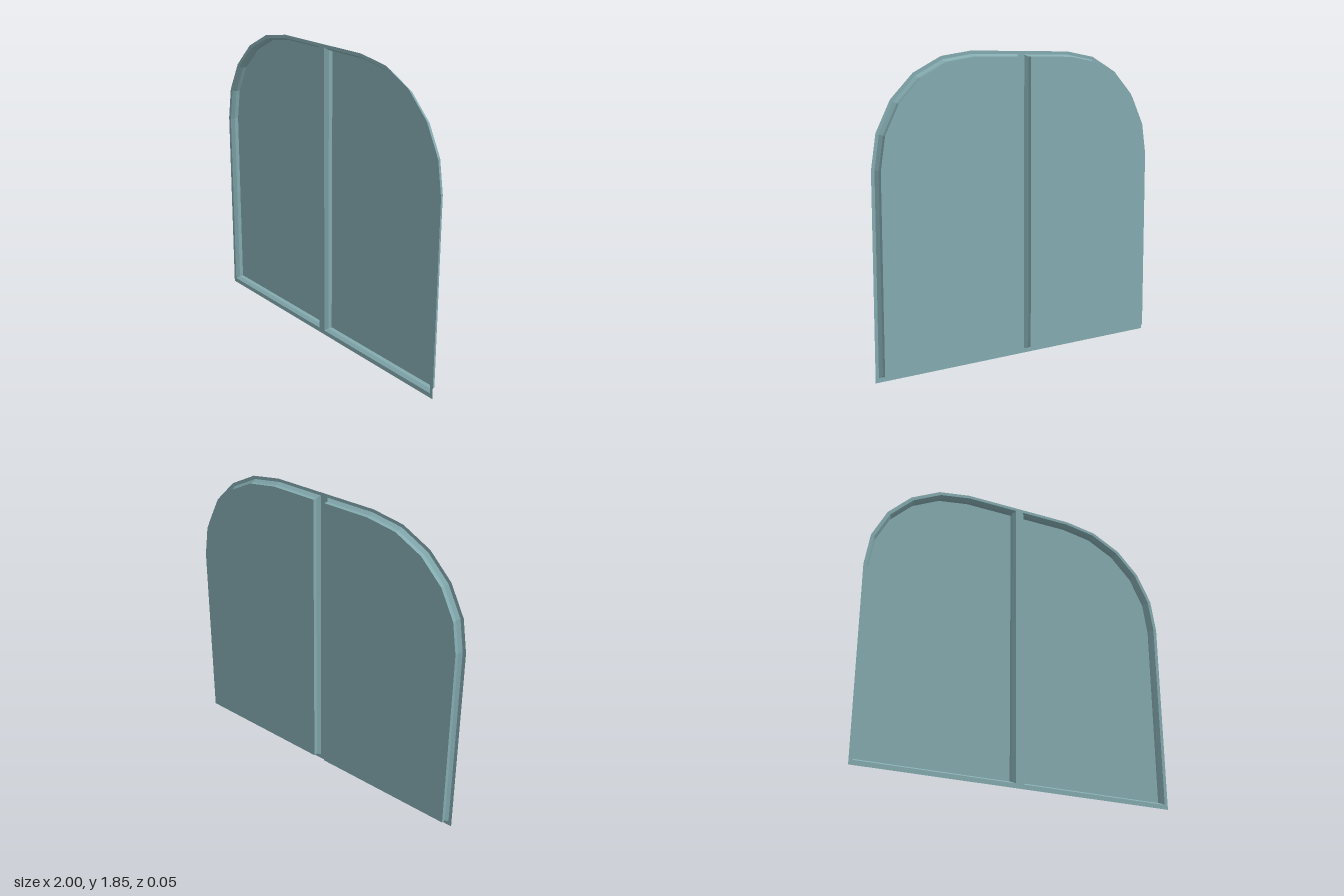
import * as THREE from 'three';

const FRONT = 0.024, STEP = 0.002, BACK = -0.024;
const ARC_STEPS = 5;

// Quarter arc from the vertical side (x = cx + r) up to the flat top
function arc(cx, cy, r) {
  return Array.from({ length: ARC_STEPS + 1 }, (_, i) => {
    const a = (i / ARC_STEPS) * Math.PI / 2;
    return new THREE.Vector2(cx + r * Math.cos(a), cy + r * Math.sin(a));
  });
}

// Outline of one half opening, counter-clockwise for side = 1
function openingOutline(side, mullion, bottom, r) {
  const points = [
    new THREE.Vector2(mullion, bottom),
    new THREE.Vector2(0.345 + r, bottom),
    ...arc(0.345, 1.197, r),
    new THREE.Vector2(mullion, 1.197 + r),
  ].map((p) => new THREE.Vector2(p.x * side, p.y));
  return side > 0 ? points : points.reverse();
}

// Closed strip of wall between two matching outlines at different depths
function wallGeometry(a, za, b, zb) {
  const positions = [];
  a.forEach((p, i) => {
    const j = (i + 1) % a.length;
    const p0 = [p.x, p.y, za], p1 = [a[j].x, a[j].y, za];
    const q0 = [b[i].x, b[i].y, zb], q1 = [b[j].x, b[j].y, zb];
    positions.push(...p0, ...p1, ...q1, ...p0, ...q1, ...q0);
  });
  const geometry = new THREE.BufferGeometry();
  geometry.setAttribute('position', new THREE.Float32BufferAttribute(positions, 3));
  geometry.computeVertexNormals();
  return geometry;
}

export function createModel() {
  const group = new THREE.Group();
  group.name = 'archedWindow';
  const material = new THREE.MeshStandardMaterial({
    color: 0x84abb0, side: THREE.DoubleSide, flatShading: true,
  });
  const add = (name, geometry, parent, z = 0) => {
    const mesh = new THREE.Mesh(geometry, material);
    mesh.name = name;
    mesh.position.z = z;
    parent.add(mesh);
  };

  // Flat front frame with rounded top corners
  const right = arc(0.35, 1.2, 0.65);
  const left = right.map((p) => new THREE.Vector2(-p.x, p.y)).reverse();
  const frame = new THREE.Shape([
    new THREE.Vector2(-1, 0), new THREE.Vector2(1, 0), ...right, ...left,
  ]);

  for (const side of [1, -1]) {
    const rim = openingOutline(side, 0.025, 0.028, 0.634);
    const inner = openingOutline(side, 0.04, 0.041, 0.62);
    frame.holes.push(new THREE.Path([...rim].reverse()));

    // Recessed half: bevel, straight wall and pane at the back
    const half = new THREE.Group();
    half.name = side > 0 ? 'leftWindow' : 'rightWindow';
    add('bevel', wallGeometry(rim, FRONT, inner, STEP), half);
    add('recessWall', wallGeometry(inner, STEP, inner, BACK), half);
    add('pane', new THREE.ShapeGeometry(new THREE.Shape(inner)), half, BACK);
    group.add(half);
  }
  add('frame', new THREE.ShapeGeometry(frame), group, FRONT);

  return group;
}
